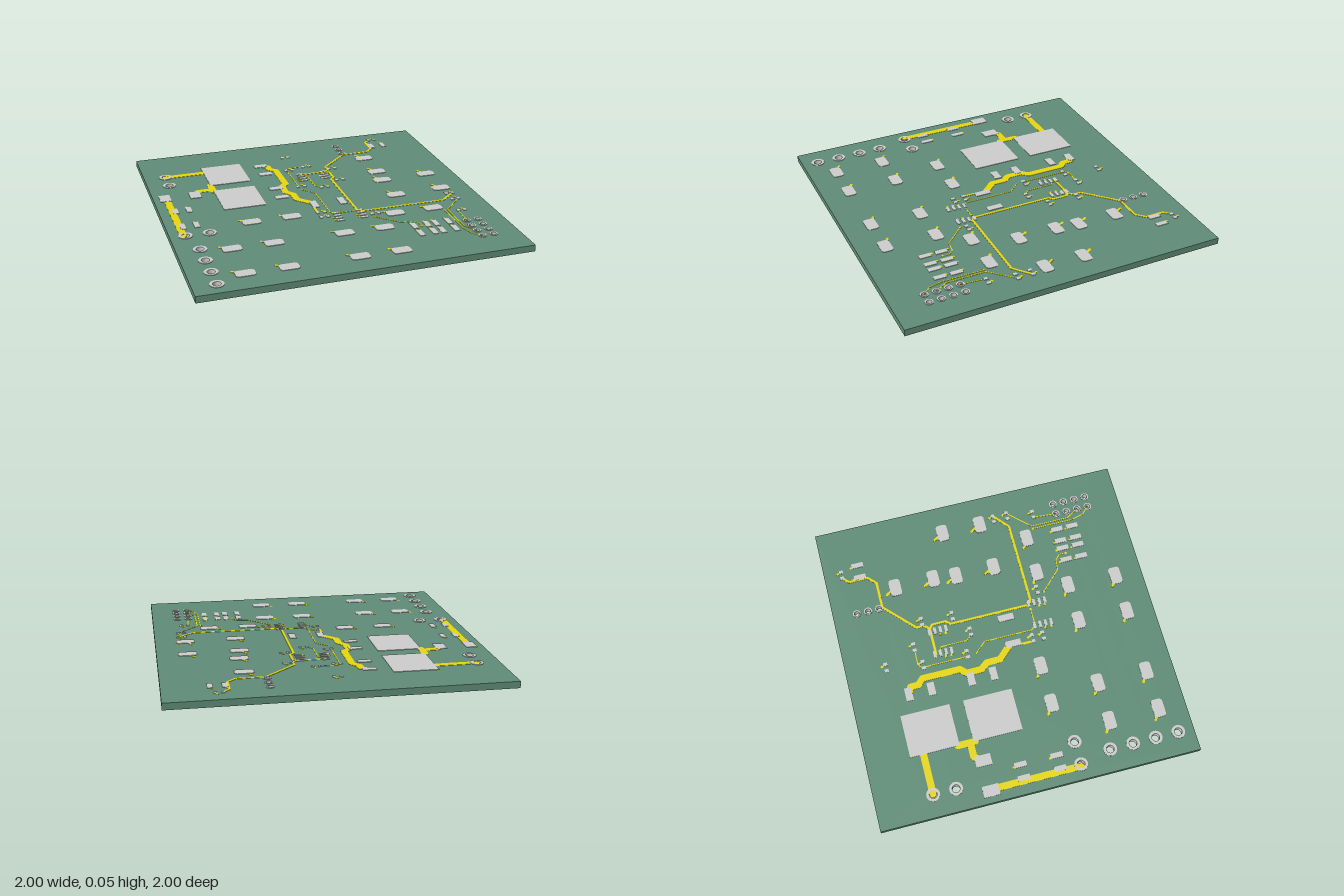
import * as THREE from 'three';
import { mergeGeometries } from 'three/addons/utils/BufferGeometryUtils.js';

const BOTTOM = 0.002, TOP = 0.043, COPPER = 0.0448, PAD = 0.046;

// Raise a flat outline on the xz plane between two heights
function slab(shape, y0, y1, curveSegments = 5) {
  const g = new THREE.ExtrudeGeometry(shape, { depth: y1 - y0, bevelEnabled: false, curveSegments });
  return g.rotateX(-Math.PI / 2).translate(0, y0, 0);
}

function circle(type, x, z, r) {
  const p = new type();
  p.absarc(x, -z, r, 0, Math.PI * 2, false);
  return p;
}

function ring(x, z, outer, inner, y0, y1) {
  const s = circle(THREE.Shape, x, z, outer);
  s.holes.push(circle(THREE.Path, x, z, inner));
  return slab(s, y0, y1, 12);
}

function roundedRect(x, z, w, h, r) {
  const s = new THREE.Shape();
  const corners = [[1, -1], [1, 1], [-1, 1], [-1, -1]];
  corners.forEach(([sx, sy], i) => s.absarc(x + sx * (w / 2 - r), -z + sy * (h / 2 - r), r,
    (i - 1) * Math.PI / 2, i * Math.PI / 2));
  s.closePath();
  return s;
}

function pad(x, z, w, h) {
  return new THREE.BoxGeometry(w, PAD - TOP, h).translate(x, (PAD + TOP) / 2, z);
}

function disc(x, z, r, y0, y1) {
  return new THREE.CylinderGeometry(r, r, y1 - y0, 10).translate(x, (y0 + y1) / 2, z);
}

// Straight copper runs with round joints
function trace(points, width, y0 = TOP - 0.001, y1 = COPPER) {
  const parts = points.map(([x, z]) => disc(x, z, width / 2, y0, y1));
  for (let i = 1; i < points.length; i++) {
    const [ax, az] = points[i - 1], [bx, bz] = points[i];
    const g = new THREE.BoxGeometry(Math.hypot(bx - ax, bz - az), y1 - y0, width);
    g.rotateY(-Math.atan2(bz - az, bx - ax));
    parts.push(g.translate((ax + bx) / 2, (y0 + y1) / 2, (az + bz) / 2));
  }
  return mergeGeometries(parts);
}

// Two-pad components, by the first pad of each
const rowCapacitors = [[-0.487, 0.197], [0.388, 0.34], [-0.685, 0.512], [0, 0.512], [-0.685, 0.827], [-0.015, 0.827]];
const columnCapacitors = [[0.513, -0.57], [0.497, -0.172], [0.813, -0.185]];
const smallParts = [[-0.025, -0.745], [0.063, -0.545], [-0.065, -0.515], [0.22, -0.46], [-0.065, -0.23],
  [0.077, -0.175], [0.21, -0.262], [-0.065, 0.195], [-0.065, 0.265], [0.808, 0.163], [0.808, 0.255],
  [0.775, 0.425], [0.663, -0.887], [0.248, 0.31]];
const mediumParts = [[-0.898, -0.09], [-0.898, 0.138], [0.643, -0.775],
  [0.428, 0.55], [0.428, 0.652], [0.567, 0.55], [0.567, 0.652]];

// Wide power copper
const powerTraces = [
  [[-0.86, -0.645], [-0.58, -0.645]],
  [[-0.733, -0.302], [-0.7, -0.352], [-0.605, -0.352]],
  [[-0.605, -0.43], [-0.605, -0.32]],
  [[-0.917, -0.3], [-0.917, 0.265]],
  [[-0.21, -0.645], [-0.165, -0.625], [-0.165, -0.575], [-0.13, -0.54], [-0.13, -0.3], [-0.165, -0.265],
    [-0.165, -0.17], [-0.13, -0.125], [-0.13, -0.04], [-0.06, 0.035]],
];

// Supply copper of medium width
const supplyTraces = [
  [[-0.048, 0.067], [-0.065, 0.12], [-0.065, 0.195]],
  [[0.663, -0.887], [0.625, -0.85], [0.625, -0.73], [0.575, -0.68], [0.4, -0.68], [0.21, -0.5],
    [0.21, -0.45], [0.18, -0.42], [0.005, -0.42]],
  [[0.18, -0.42], [0.205, -0.4], [0.205, -0.31], [0.18, -0.285], [0.18, 0.23], [0.21, 0.25],
    [0.75, 0.25], [0.85, 0.165]],
];

// Thin signal copper
const signalTraces = [
  [[-0.06, -0.23], [-0.06, -0.53], [-0.035, -0.548], [0.063, -0.545]],
  [[0.005, -0.393], [0.045, -0.38], [0.045, -0.21], [0.077, -0.175]],
  [[-0.055, -0.175], [0.01, -0.105], [0.01, 0.205], [0.037, 0.235], [0.15, 0.235]],
  [[0.245, 0.35], [0.372, 0.477], [0.44, 0.485], [0.472, 0.515], [0.472, 0.56]],
  [[0.85, 0.255], [0.715, 0.395], [0.715, 0.64], [0.762, 0.718]],
  [[0.695, 0.4], [0.695, 0.66], [0.715, 0.745], [0.762, 0.79]],
  [[0.775, 0.425], [0.762, 0.574]],
];

// Thin copper on the underside
const undersideTraces = [
  [[-0.016, -0.722], [0.22, -0.46], [0.28, -0.287], [0.695, 0.24], [0.695, 0.4]],
  [[-0.032, 0.17], [0.03, 0.29], [0.245, 0.5], [0.472, 0.56], [0.762, 0.79]],
  [[-0.032, 0.24], [0.08, 0.42], [0.245, 0.54], [0.762, 0.646]],
];

export function createModel() {
  const root = new THREE.Group();
  const green = new THREE.MeshStandardMaterial({ color: 0x5f8c77 });
  const yellow = new THREE.MeshStandardMaterial({ color: 0xe6d60f });
  const grey = new THREE.MeshStandardMaterial({ color: 0xcccccc });
  const add = (name, geometries, material) => {
    const mesh = new THREE.Mesh(mergeGeometries(geometries), material);
    mesh.name = name;
    root.add(mesh);
  };

  // Hole positions: terminals on the left edge, pin headers on the right
  const large = [[-0.86, -0.645], [-0.86, -0.503], [-0.905, 0.267], [-0.76, 0.267]];
  const small = [];
  for (let i = 0; i < 4; i++) {
    large.push([-0.86, 0.465 + i * 0.145]);
    small.push([0.762, 0.574 + i * 0.0725], [0.835, 0.574 + i * 0.0725]);
    if (i < 3) small.push([0.397, -0.847 + i * 0.0725]);
  }
  const holes = [...large.map(p => [...p, 0.042, 0.024]), ...small.map(p => [...p, 0.025, 0.016])];

  // Board drilled for the plated holes
  const outline = roundedRect(0, 0, 2, 2, 0.001);
  for (const [x, z, , r] of holes) outline.holes.push(circle(THREE.Path, x, z, r + 0.002));
  add('board', [slab(outline, BOTTOM, TOP, 10)], green);

  // Plated sleeves with rings on both faces
  add('platedHoles', holes.flatMap(([x, z, outer, inner]) => [
    ring(x, z, outer, inner, TOP - 0.001, PAD), ring(x, z, outer, inner, 0, BOTTOM + 0.001),
    ring(x, z, inner + 0.002, inner, BOTTOM, TOP)]), grey);

  // Each stub links a pad to its via: pad x, z, via x, z, width
  const stubs = [];
  const stub = (x, z, dx, dz, w = 0.01) => stubs.push([x, z, x + dx, z + dz, w]);

  // Rounded capacitor pads, in rows and columns
  const capacitorPads = [];
  const capacitorPad = (x, z, dx, dz) => {
    capacitorPads.push(slab(roundedRect(x, z, 0.115, 0.073, 0.02), TOP - 0.001, PAD));
    stub(x, z, dx, dz, 0.016);
  };
  rowCapacitors.forEach(([x, z]) => [0, 0.252].forEach(d => capacitorPad(x + d, z, -0.068, -0.038)));
  columnCapacitors.forEach(([x, z]) => [0, 0.251].forEach(d => capacitorPad(x, z + d, -0.037, -0.063)));
  add('capacitorPads', capacitorPads, grey);

  // Power transistor tabs and leads, diode and shunt pads
  add('transistorTabs', [-0.573, -0.175].map(z => pad(-0.47, z, 0.27, 0.31)), grey);
  add('transistorLeadPads', [-0.645, -0.502, -0.247, -0.103].map(z => pad(-0.21, z, 0.085, 0.045)), grey);
  add('diodePads', [-0.925, -0.733].map(x => pad(x, -0.302, 0.07, 0.1)), grey);
  add('shuntPads', [-0.048, 0.133].map(x => pad(x, 0.067, 0.043, 0.1)), grey);

  // Small and medium two-pad components
  add('smallPads', smallParts.flatMap(([x, z]) => {
    stub(x + 0.043, z, -0.011, -0.025);
    return [pad(x, z, 0.021, 0.025), pad(x + 0.043, z, 0.021, 0.025)];
  }), grey);
  add('mediumPads', mediumParts.flatMap(([x, z]) => [x, x + 0.084].map(px => {
    stub(px, z, -0.009, -0.044);
    return pad(px, z, 0.033, 0.076);
  })), grey);

  // Eight-pin chips
  add('chipPads', [[0.082, -0.374], [0.112, 0.285]].flatMap(([x, z]) =>
    [-1.5, -0.5, 0.5, 1.5].flatMap(row => [-1, 1].map(side => {
      if (row > 0) stub(x + side * 0.077, z + row * 0.036, -0.03, -0.008);
      return pad(x + side * 0.077, z + row * 0.036, 0.045, 0.018);
    }))), grey);

  // Copper runs
  add('powerTraces', powerTraces.map(p => trace(p, 0.043)), yellow);
  add('supplyTraces', supplyTraces.map(p => trace(p, 0.015)), yellow);
  add('signalTraces', signalTraces.map(p => trace(p, 0.006)), yellow);
  add('undersideTraces', undersideTraces.map(p => trace(p, 0.006, 0.0005, BOTTOM + 0.001)), yellow);

  // Via links, and the vias that pass through the board
  add('viaLinks', stubs.map(([ax, az, bx, bz, w]) => trace([[ax, az], [bx, bz]], w)), yellow);
  const vias = [...stubs.map(s => [s[2], s[3]]), [0.245, 0.35], [0.472, 0.56], [0.695, 0.4], [0.15, 0.235]];
  add('vias', vias.map(([x, z]) => disc(x, z, 0.008, 0.0005, COPPER)), yellow);
  return root;
}
